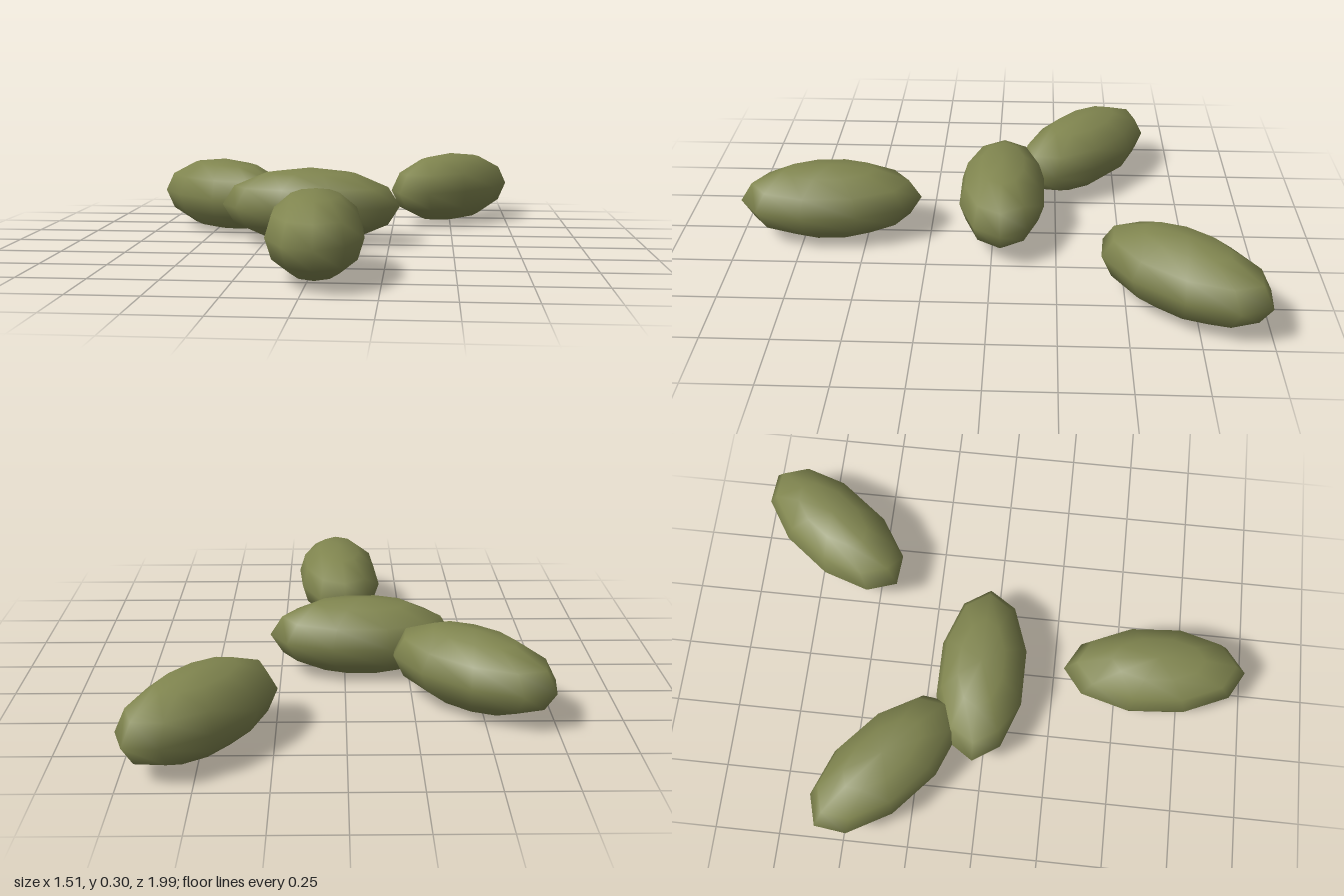
import * as THREE from 'three';

export function createModel() {
  const group = new THREE.Group();
  group.name = 'scatteredPods';

  const olive = new THREE.MeshStandardMaterial({ color: 0x80854f });
  olive.name = 'olive green';

  // One shared low-poly ellipsoid, long along x, with its poles facing up and down
  const podGeometry = new THREE.SphereGeometry(1, 10, 6);
  podGeometry.scale(0.356, 0.151, 0.175);

  // Each pod: name, centre x and z, and the direction of its long axis
  const pods = [
    ['centrePod', -0.065, -0.035, 1, 0],
    ['frontPod', 0.018, 0.64, 0.055, 0.715],
    ['backRightPod', -0.465, -0.363, 0.52, 0.45],
    ['backLeftPod', 0.5, -0.7, 0.43, -0.55],
  ];
  for (const [name, x, z, dx, dz] of pods) {
    const pod = new THREE.Mesh(podGeometry, olive);
    pod.name = name;
    pod.position.set(x, 0.156, z);
    pod.rotation.y = Math.atan2(-dz, dx);
    group.add(pod);
  }
  return group;
}
